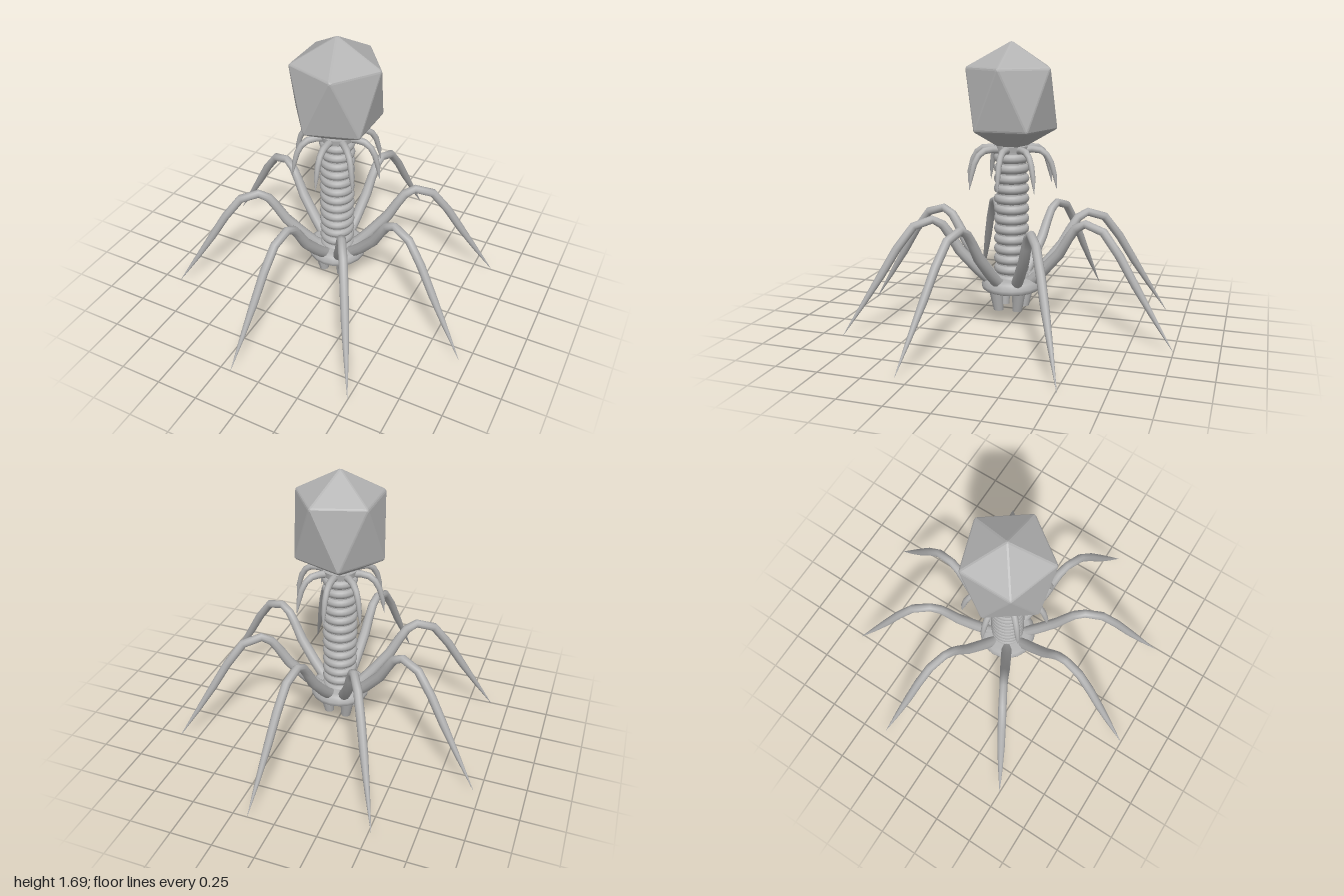
import * as THREE from 'three';
import { ConvexGeometry } from 'three/addons/geometries/ConvexGeometry.js';

const CENTRE_X = -0.011;

// Tapered round limb swept along a path of [distance, height, radius]
function limbGeometry(path, sides = 10) {
  const pts = path.map(([r, y]) => new THREE.Vector2(r, y));
  const positions = [];
  const index = [];
  pts.forEach((p, i) => {
    const before = pts[Math.max(i - 1, 0)];
    const after = pts[Math.min(i + 1, pts.length - 1)];
    const t = after.clone().sub(before).normalize();
    for (let j = 0; j < sides; j++) {
      const a = (j / sides) * Math.PI * 2;
      const n = Math.cos(a) * path[i][2];
      positions.push(p.x - t.y * n, p.y + t.x * n, Math.sin(a) * path[i][2]);
      if (i < pts.length - 1) {
        const k = (j + 1) % sides;
        const a0 = i * sides + j, b0 = i * sides + k;
        index.push(a0, b0, a0 + sides, b0, b0 + sides, a0 + sides);
      }
    }
  });
  const geometry = new THREE.BufferGeometry();
  geometry.setAttribute('position', new THREE.Float32BufferAttribute(positions, 3));
  geometry.setIndex(index);
  geometry.computeVertexNormals();
  return geometry;
}

// Stretched twenty-sided head with slightly rounded edges
function headGeometry() {
  const bevel = 0.02;
  const corners = [new THREE.Vector3(0, 1.673, 0), new THREE.Vector3(0, 1.06, 0)];
  for (let i = 0; i < 5; i++) {
    const a = (i / 5) * Math.PI * 2;
    const b = a + Math.PI / 5;
    corners.push(new THREE.Vector3(Math.cos(a) * 0.247, 1.535, Math.sin(a) * 0.247));
    corners.push(new THREE.Vector3(Math.cos(b) * 0.247, 1.2, Math.sin(b) * 0.247));
  }
  const ball = new THREE.IcosahedronGeometry(bevel, 1).getAttribute('position');
  const points = [];
  for (const corner of corners) {
    for (let i = 0; i < ball.count; i++) {
      points.push(new THREE.Vector3().fromBufferAttribute(ball, i).add(corner));
    }
  }
  return new ConvexGeometry(points);
}

export function createModel() {
  const model = new THREE.Group();
  const grey = new THREE.MeshStandardMaterial({ color: 0xb2b2b2 });
  grey.name = 'grey';
  const body = new THREE.Group();
  body.name = 'body';
  body.position.x = CENTRE_X;
  model.add(body);

  const add = (name, geometry, x = 0, y = 0, z = 0) => {
    const mesh = new THREE.Mesh(geometry, grey);
    mesh.name = name;
    mesh.position.set(x, y, z);
    body.add(mesh);
    return mesh;
  };

  add('head', headGeometry());

  // Collar and drooping whiskers
  add('collar', new THREE.CylinderGeometry(0.105, 0.1, 0.035, 24), 0, 1.075, 0);
  const whisker = limbGeometry([
    [0.07, 1.068, 0.022], [0.13, 1.075, 0.021], [0.178, 1.07, 0.02],
    [0.215, 1.045, 0.018], [0.242, 1.0, 0.017], [0.262, 0.93, 0.014], [0.275, 0.848, 0.001],
  ]);
  for (let i = 0; i < 8; i++) {
    add('whisker', whisker).rotation.y = (i / 8) * Math.PI * 2;
  }

  // Ringed tail
  add('tailCore', new THREE.CylinderGeometry(0.088, 0.088, 0.8, 24), 0, 0.68, 0);
  const ring = new THREE.TorusGeometry(0.077, 0.029, 10, 28).rotateX(Math.PI / 2);
  for (let i = 0; i < 13; i++) add('tailRing', ring, 0, 1.02 - i * 0.061, 0);

  // Base plate with softened rim
  const rim = [[0, 0.22], [0.165, 0.22], [0.178, 0.228], [0.181, 0.25],
    [0.168, 0.282], [0.145, 0.295], [0, 0.295]].map(([r, y]) => new THREE.Vector2(r, y));
  add('basePlate', new THREE.LatheGeometry(rim, 20));

  // Short splayed prongs under the base plate
  for (const [x, z] of [[1, 1], [-1, 1], [-1, -1], [1, -1]]) {
    const r = x > 0 && z < 0 ? 0.052 : 0.062;
    const geometry = new THREE.CylinderGeometry(0.044, 0.03, 0.14, 10);
    const p = geometry.getAttribute('position');
    for (let i = 0; i < p.count; i++) {
      const lean = p.getY(i) > 0 ? 0.015 : 0;
      p.setX(i, p.getX(i) + x * lean);
      p.setZ(i, p.getZ(i) + z * lean);
    }
    geometry.computeVertexNormals();
    add('prong', geometry, x * r, 0.165, z * r);
  }

  // Long jointed legs, angles in degrees from the left side towards the front
  const leg = limbGeometry([
    [0.1, 0.265, 0.03], [0.14, 0.285, 0.034], [0.21, 0.355, 0.034], [0.315, 0.475, 0.032],
    [0.37, 0.57, 0.029], [0.415, 0.635, 0.027], [0.475, 0.668, 0.025], [0.585, 0.633, 0.026],
    [0.685, 0.505, 0.026], [0.78, 0.35, 0.024], [0.89, 0.18, 0.015], [1.01, 0.0, 0.001],
  ]);
  for (const angle of [19.3, 60, 100, 150.5, 200.5, 240, 280, 329.8]) {
    add('leg', leg).rotation.y = -THREE.MathUtils.degToRad(angle);
  }
  return model;
}
